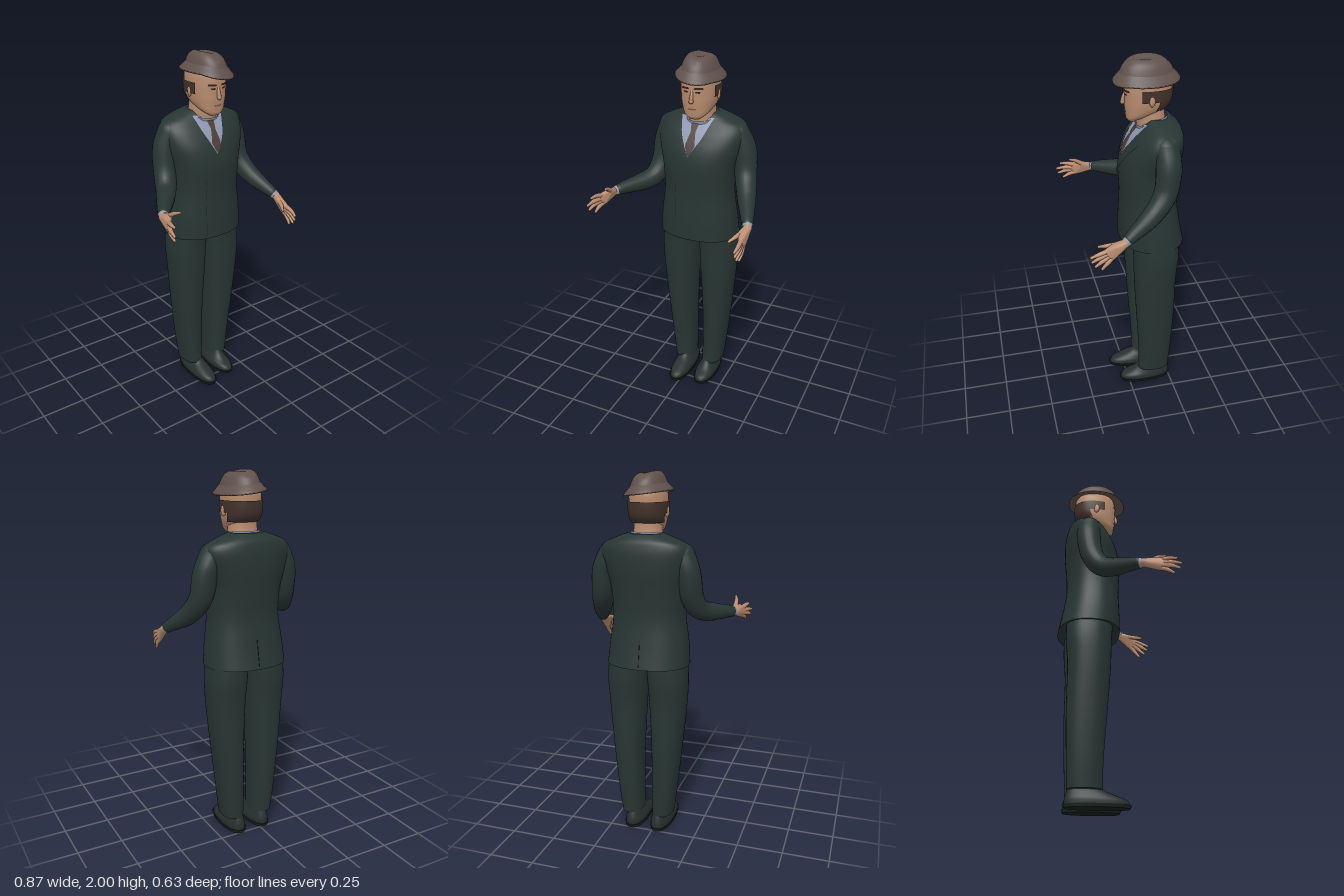
import * as THREE from 'three';
import { mergeGeometries, mergeVertices } from 'three/addons/utils/BufferGeometryUtils.js';
import { ConvexGeometry } from 'three/addons/geometries/ConvexGeometry.js';

const mat = (name, color, side = THREE.FrontSide) => {
  const m = new THREE.MeshStandardMaterial({ color, side });
  m.name = name;
  return m;
};
const V = (a) => new THREE.Vector3(...a);
const MID = 0.05; // x of the body's centre plane
const mirror = (rings) => rings.map(([y, a, b, zb, zf]) => [y, 2 * MID - b, 2 * MID - a, zb, zf]);

// Smooth a list of [y, xMin, xMax, zBack, zFront] cross-sections
function refine(rings, sub) {
  const out = [], n = rings.length - 1;
  for (let i = 0; i < n; i++) for (let s = 0; s < sub; s++) {
    const t = s / sub, p = [i - 1, i, i + 1, i + 2].map((k) => rings[Math.min(n, Math.max(0, k))]);
    out.push(p[1].map((b, k) => {
      const a = p[0][k], c = p[2][k], d = p[3][k];
      return b + 0.5 * t * (c - a + t * (2 * a - 5 * b + 4 * c - d + t * (3 * (b - c) + d - a)));
    }));
  }
  out.push(rings[n]);
  return out;
}

// Skin the cross-sections; t0..t1 limits the angle (0 is the front)
function loft(rings, { sub = 4, seg = 40, p = 2.3, t0 = 0, t1 = 2 * Math.PI, caps = true, warp = null } = {}) {
  const rows = refine(rings, sub), pos = [], idx = [], full = t1 - t0 > 6.28, w = full ? seg : seg + 1;
  const pw = (v) => Math.sign(v) * Math.abs(v) ** (2 / p);
  const ring = ([y, a, b, zb, zf]) => {
    for (let j = 0; j < w; j++) {
      const t = t0 + (t1 - t0) * j / seg;
      const x = (a + b) / 2 + (b - a) / 2 * pw(Math.sin(t)), z = (zb + zf) / 2 + (zf - zb) / 2 * pw(Math.cos(t));
      pos.push(x, warp ? warp(x, y, z) : y, z);
    }
  };
  rows.forEach(ring);
  for (let i = 0; i < rows.length - 1; i++) for (let j = 0; j < seg; j++) {
    const a = i * w + j, b = i * w + (j + 1) % w;
    idx.push(a, b, a + w, b, b + w, a + w);
  }
  if (caps && full) [rows[0], rows[rows.length - 1]].forEach((r, k) => {
    const s = pos.length / 3;
    ring(r);
    const x = (r[1] + r[2]) / 2, z = (r[3] + r[4]) / 2;
    pos.push(x, warp ? warp(x, r[0], z) : r[0], z);
    for (let j = 0; j < w; j++) {
      const a = s + j, b = s + (j + 1) % w;
      idx.push(...(k ? [a, b, s + w] : [b, a, s + w]));
    }
  });
  const g = new THREE.BufferGeometry();
  g.setAttribute('position', new THREE.Float32BufferAttribute(pos, 3));
  g.setIndex(idx);
  g.computeVertexNormals();
  return g;
}

// Front z of a lofted body at (x, y)
function frontOf(rings, p = 2.3) {
  const rows = refine(rings, 4);
  return (x, y) => {
    let i = 0;
    while (i < rows.length - 2 && rows[i + 1][0] < y) i++;
    const t = (y - rows[i][0]) / (rows[i + 1][0] - rows[i][0]);
    const [, a, b, zb, zf] = rows[i].map((v, k) => v + (rows[i + 1][k] - v) * t);
    const u = Math.min(1, Math.abs((x - (a + b) / 2) / ((b - a) / 2)));
    return (zb + zf) / 2 + (zf - zb) / 2 * (1 - u ** p) ** (1 / p);
  };
}

// Thin sheet that follows a front surface; rows of [y, xLeftEdge, xRightEdge], top first
function patch(front, rows, off) {
  const g = new THREE.PlaneGeometry(1, 1, 8, 20), P = g.attributes.position;
  for (let k = 0; k < P.count; k++) {
    const v = (0.5 - P.getY(k)) * (rows.length - 1), i = Math.min(rows.length - 2, Math.floor(v));
    const [y, a, b] = rows[i].map((q, c) => q + (rows[i + 1][c] - q) * (v - i));
    const x = a + (b - a) * (P.getX(k) + 0.5);
    P.setXYZ(k, x, y, front(x, y) + off);
  }
  g.computeVertexNormals();
  return g;
}

// Round-ended tapering tube
function limb(points, radii, seg = 14) {
  const curve = new THREE.CatmullRomCurve3(points), n = 18;
  const tube = new THREE.TubeGeometry(curve, n, 1, seg), P = tube.attributes.position, v = new THREE.Vector3();
  for (let i = 0; i <= n; i++) {
    const c = curve.getPointAt(i / n), u = i / n * (radii.length - 1), k = Math.min(radii.length - 2, Math.floor(u));
    const r = radii[k] + (radii[k + 1] - radii[k]) * (u - k);
    for (let j = 0; j <= seg; j++) {
      v.fromBufferAttribute(P, i * (seg + 1) + j).sub(c).multiplyScalar(r).add(c);
      P.setXYZ(i * (seg + 1) + j, v.x, v.y, v.z);
    }
  }
  const ends = [0, 1].map((e) => {
    const c = points[e * (points.length - 1)];
    return new THREE.SphereGeometry(radii[e * (radii.length - 1)], seg, 10).translate(c.x, c.y, c.z);
  });
  return mergeGeometries([tube, ...ends]);
}

export function createModel() {
  const model = new THREE.Group();
  const D = THREE.DoubleSide;
  const suit = mat('suit cloth', 0x273533, D), seam = mat('dark seam', 0x18211f, D), skin = mat('skin', 0xb98c70);
  const hatFelt = mat('hat felt', 0x60514c, D), hair = mat('hair', 0x43322a, D), shirt = mat('shirt', 0x8d97b0, D);
  const tieCloth = mat('tie', 0x4d3d39, D), shoe = mat('shoe leather', 0x26302f), dark = mat('face dark', 0x2e211c, D);
  const lip = mat('lip', 0x8a5a4a, D);
  const add = (name, geo, m, parent = model) => {
    const mesh = new THREE.Mesh(geo, m);
    mesh.name = name;
    parent.add(mesh);
    return mesh;
  };

  // Trousers and shoes; the left foot stands slightly further back
  const leg = [[0.09, -0.1, 0.02, -0.245, -0.06], [0.25, -0.12, 0.02, -0.252, -0.058], [0.5, -0.145, 0.022, -0.26, -0.04],
    [0.75, -0.168, 0.035, -0.26, -0.024], [0.9, -0.175, 0.045, -0.272, -0.02], [1.02, -0.165, 0.055, -0.27, -0.01]];
  const upper = [[0.015, -0.085, 0.033, -0.255, 0.083], [0.04, -0.085, 0.033, -0.255, 0.07], [0.062, -0.078, 0.025, -0.25, 0.02],
    [0.09, -0.07, 0.015, -0.24, -0.05], [0.13, -0.068, 0.01, -0.22, -0.075]];
  const sole = [[0, -0.086, 0.034, -0.256, 0.083], [0.018, -0.09, 0.038, -0.26, 0.09]];
  const setBack = (rings) => mirror(rings).map(([y, a, b, zb, zf]) => [y, a, b, zb, zf > -0.04 ? zf - 0.035 : zf]);
  for (const [side, f, foot] of [['right', (r) => r, (r) => r], ['left', mirror, setBack]]) {
    add(side + 'TrouserLeg', loft(f(leg)), suit);
    add(side + 'Shoe', loft(foot(upper)), shoe);
    add(side + 'Sole', loft(foot(sole), { sub: 1 }), seam);
  }

  // Jacket body
  const jacket = [[0.985, -0.18, 0.275, -0.315, 0.036], [1.1, -0.172, 0.265, -0.292, 0.035], [1.25, -0.152, 0.247, -0.272, 0.03],
    [1.4, -0.16, 0.255, -0.28, 0.036], [1.5, -0.185, 0.282, -0.288, 0.018], [1.58, -0.195, 0.3, -0.288, -0.02],
    [1.63, -0.18, 0.285, -0.28, -0.055], [1.66, -0.13, 0.23, -0.268, -0.075], [1.69, -0.045, 0.15, -0.235, -0.095]];
  add('jacket', loft(jacket, { seg: 56 }), suit);
  const chest = frontOf(jacket);
  add('shirtFront', patch(chest, [[1.668, -0.045, 0.14], [1.6, -0.025, 0.112], [1.54, 0.0, 0.085], [1.475, 0.035, 0.042]], 0.003), shirt);
  add('tieKnot', patch(chest, [[1.638, 0.024, 0.068], [1.6, 0.032, 0.06]], 0.009), tieCloth);
  add('tieBlade', patch(chest, [[1.605, 0.034, 0.058], [1.53, 0.014, 0.07], [1.48, 0.033, 0.045]], 0.006), tieCloth);
  add('rightLapel', patch(chest, [[1.668, -0.07, -0.045], [1.6, -0.075, -0.025], [1.57, -0.075, -0.012], [1.47, 0.0, 0.037], [1.42, 0.015, 0.02]], 0.004), suit);
  add('leftLapel', patch(chest, [[1.668, 0.14, 0.165], [1.6, 0.112, 0.175], [1.57, 0.1, 0.175], [1.47, 0.035, 0.1], [1.33, -0.035, -0.03]], 0.005), suit);
  add('frontEdge', patch(chest, [[1.33, -0.035, -0.033], [1.0, -0.035, -0.033]], 0.002), seam);
  add('backVent', new THREE.BoxGeometry(0.003, 0.15, 0.004).rotateX(0.18).translate(MID, 1.07, -0.299), seam);

  // Arms: sleeve, cuff and hand; fingertips run from thumb to little finger
  const arms = {
    right: {
      path: [[-0.145, 1.58, -0.16], [-0.176, 1.5, -0.165], [-0.195, 1.36, -0.14], [-0.225, 1.285, -0.085], [-0.352, 1.245, 0.09]],
      tips: [[-0.35, 1.303, 0.243], [-0.415, 1.255, 0.292], [-0.428, 1.217, 0.313], [-0.424, 1.19, 0.305], [-0.402, 1.17, 0.278]],
    },
    left: {
      path: [[0.245, 1.58, -0.16], [0.285, 1.5, -0.165], [0.308, 1.36, -0.145], [0.342, 1.27, -0.075], [0.402, 1.178, 0.065]],
      tips: [[0.357, 1.125, 0.22], [0.408, 1.095, 0.27], [0.41, 1.068, 0.264], [0.414, 1.042, 0.247], [0.417, 1.024, 0.214]],
    },
  };
  for (const [side, { path, tips }] of Object.entries(arms)) {
    const arm = new THREE.Group();
    arm.name = side + 'Arm';
    model.add(arm);
    const pts = path.map(V), end = pts[4], dir = end.clone().sub(pts[3]).normalize();
    const out = (d) => end.clone().addScaledVector(dir, d);
    add('sleeve', limb(pts, [0.068, 0.067, 0.06, 0.05, 0.032], 20), suit, arm);
    add('cuff', limb([out(0), out(0.013)], [0.029, 0.028]), shirt, arm);
    const wrist = out(0.035), tip = tips.map(V), root = tip.map((t, i) => wrist.clone().lerp(t, i ? 0.5 : 0.35));
    add('wrist', limb([out(0.01), wrist], [0.025, 0.024]), skin, arm);
    const cloud = [];
    for (const [c, r] of [[wrist, 0.024], ...root.map((q) => [q, 0.015])]) {
      const s = new THREE.IcosahedronGeometry(r, 1).attributes.position;
      for (let i = 0; i < s.count; i++) cloud.push(new THREE.Vector3().fromBufferAttribute(s, i).add(c));
    }
    const hull = new ConvexGeometry(cloud);
    hull.deleteAttribute('normal');
    const palm = mergeVertices(hull);
    palm.computeVertexNormals();
    add('palm', palm, skin, arm);
    tip.forEach((t, i) => {
      const mid = root[i].clone().lerp(t, 0.5).add(new THREE.Vector3(side === 'left' ? 0.004 : -0.004, 0.003, 0));
      const stop = t.clone().addScaledVector(t.clone().sub(root[i]).normalize(), -0.005);
      add(i ? 'finger' : 'thumb', limb([root[i], mid, stop], [0.0135, 0.012, 0.0075], 10), skin, arm);
    });
  }

  // Neck and collar, lower at the throat
  add('neck', loft([[1.62, -0.03, 0.135, -0.22, -0.06], [1.7, -0.025, 0.127, -0.2, -0.055], [1.77, -0.02, 0.122, -0.2, -0.04]]), skin);
  add('collar', loft([[1.64, -0.05, 0.153, -0.235, -0.062], [1.698, -0.034, 0.137, -0.212, -0.05]],
    { sub: 1, caps: false, warp: (x, y, z) => y - 0.4 * Math.max(0, z + 0.17) }), shirt);

  // Head, hair and face
  const skull = [[1.672, 0.028, 0.078, -0.045, -0.014], [1.685, 0.008, 0.098, -0.065, -0.001], [1.705, -0.014, 0.12, -0.11, 0.003],
    [1.735, -0.031, 0.137, -0.185, 0.007], [1.765, -0.04, 0.146, -0.218, 0.01], [1.8, -0.044, 0.15, -0.23, 0.011],
    [1.85, -0.045, 0.151, -0.233, 0.013], [1.9, -0.04, 0.147, -0.23, 0.005], [1.94, -0.02, 0.12, -0.19, -0.03]];
  add('head', loft(skull), skin);
  const scalp = (low, t0) => loft(refine(skull, 4).filter(([y]) => y > low && y < 1.862)
    .map(([y, a, b, zb, zf]) => [y, a - 0.007, b + 0.007, zb - 0.007, zf + 0.007]), { sub: 1, t0, t1: 2 * Math.PI - t0 });
  add('sideHair', scalp(1.783, 1.22), hair);
  add('backHair', scalp(1.738, 1.85), hair);
  const face = frontOf(skull), cx = 0.053;
  add('nose', limb([V([cx, 1.828, 0.006]), V([cx, 1.8, 0.016]), V([cx, 1.774, 0.02])], [0.007, 0.009, 0.012]), skin);
  add('mouth', patch(face, [[1.735, cx - 0.025, cx + 0.025], [1.726, cx - 0.02, cx + 0.02]], 0.003), lip);
  for (const s of [-1, 1]) {
    const span = (y, a, b) => [y, cx + (s < 0 ? -b : a), cx + (s < 0 ? -a : b)];
    add('eyebrow', patch(face, [span(1.846, 0.018, 0.058), span(1.836, 0.012, 0.06)], 0.004), dark);
    add('eye', patch(face, [span(1.826, 0.02, 0.046), span(1.817, 0.022, 0.044)], 0.003), dark);
    add('ear', new THREE.SphereGeometry(0.028, 14, 12).scale(0.35, 1, 0.62).rotateY(s * 0.3).translate(cx + s * 0.1, 1.797, -0.11), skin);
  }

  // Hat with a lightly dented crown and a tilted, drooping brim
  const tilt = (x, y, z) => y - 0.12 * (x - cx) - Math.max(0, z) * 0.2;
  const dent = (x, y, z) => tilt(x, y, z) - (y > 1.97 ? 0.005 * Math.exp(-(((x - cx) / 0.025) ** 2)) : 0.0);
  add('hatCrown', loft([[1.905, -0.043, 0.155, -0.25, 0.045], [1.945, -0.033, 0.143, -0.234, 0.03], [1.978, -0.018, 0.127, -0.208, 0.003],
    [1.996, 0.006, 0.1, -0.17, -0.03], [1.992, 0.04, 0.068, -0.12, -0.07]], { warp: dent, p: 2.1 }), hatFelt);
  add('hatBrim', loft([[1.905, -0.03, 0.14, -0.235, 0.03], [1.888, -0.07, 0.181, -0.275, 0.07], [1.896, -0.07, 0.181, -0.275, 0.07],
    [1.912, -0.054, 0.166, -0.26, 0.055], [1.933, -0.036, 0.147, -0.239, 0.035]], { sub: 1, caps: false, warp: tilt, p: 2.1 }), hatFelt);
  return model;
}
